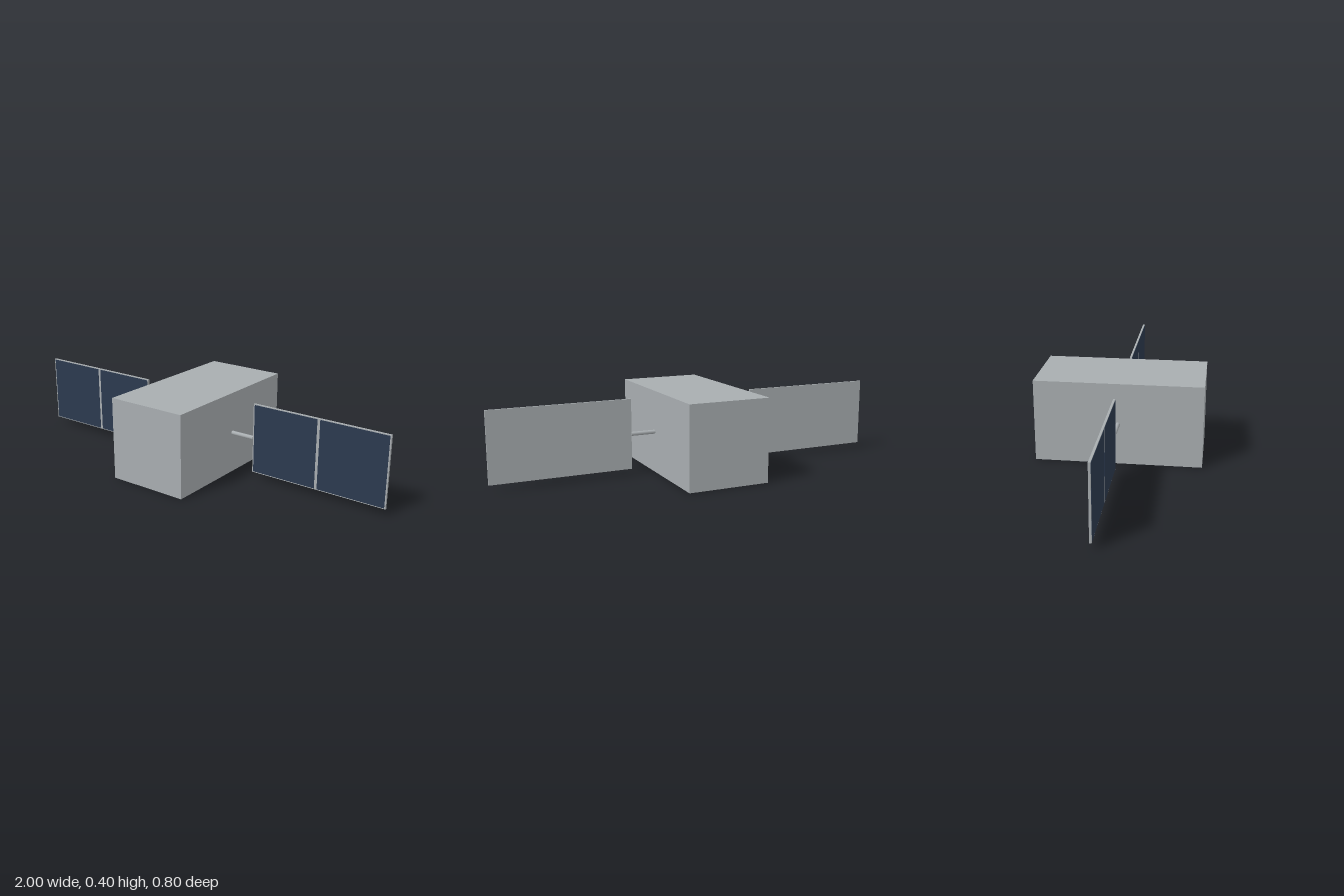
import * as THREE from 'three';

export function createModel() {
  const model = new THREE.Group();
  model.name = 'satellite';

  const hullGrey = new THREE.MeshStandardMaterial({ color: 0xa8adb0 });
  hullGrey.name = 'hull grey';
  const cellNavy = new THREE.MeshStandardMaterial({ color: 0x2c3a4f });
  cellNavy.name = 'solar cell navy';

  const midY = 0.2;

  function addPart(parent, name, geometry, material, x, y, z) {
    const mesh = new THREE.Mesh(geometry, material);
    mesh.name = name;
    mesh.position.set(x, y, z);
    parent.add(mesh);
    return mesh;
  }

  // Long box body
  addPart(model, 'body', new THREE.BoxGeometry(0.4, 0.4, 0.8), hullGrey, 0, midY, 0);

  // Shared wing geometry
  const boomGeometry = new THREE.CylinderGeometry(0.01, 0.01, 0.12, 12).rotateZ(Math.PI / 2);
  const panelGeometry = new THREE.BoxGeometry(0.68, 0.34, 0.01);
  const cellGeometry = new THREE.BoxGeometry(0.327, 0.332, 0.002);

  for (const side of [1, -1]) {
    const wing = new THREE.Group();
    wing.name = side > 0 ? 'leftWing' : 'rightWing';
    model.add(wing);

    addPart(wing, 'boom', boomGeometry, hullGrey, side * 0.26, midY, 0);
    addPart(wing, 'panel', panelGeometry, hullGrey, side * 0.66, midY, 0);

    // Two dark cells on the front face, separated by a narrow strip
    for (const offset of [-0.1705, 0.1705]) {
      addPart(wing, 'solarCell', cellGeometry, cellNavy, side * 0.66 + offset, midY, 0.005);
    }
  }

  return model;
}
